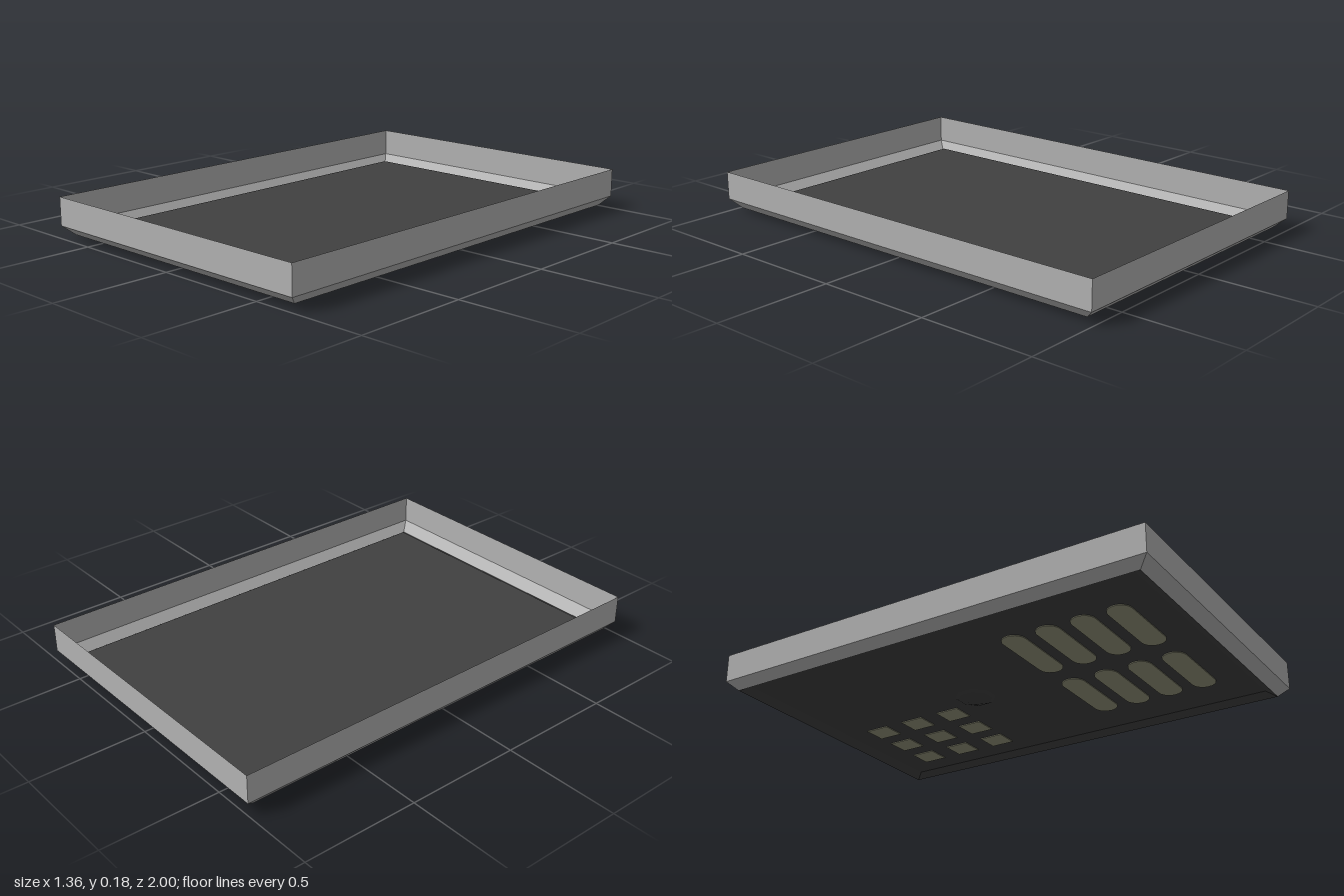
import * as THREE from 'three';

const material = (name, color) =>
  new THREE.MeshStandardMaterial({ name, color, flatShading: true, side: THREE.DoubleSide });

// Open band of four quads between two rectangles, each given as [halfX, y, halfZ]
function rectBand(lower, upper) {
  const corners = ([x, y, z]) => [[x, y, z], [x, y, -z], [-x, y, -z], [-x, y, z]];
  const a = corners(lower), b = corners(upper);
  const pos = [];
  for (let i = 0; i < 4; i++) {
    const j = (i + 1) % 4;
    pos.push(...a[i], ...a[j], ...b[j], ...a[i], ...b[j], ...b[i]);
  }
  const g = new THREE.BufferGeometry();
  g.setAttribute('position', new THREE.Float32BufferAttribute(pos, 3));
  g.computeVertexNormals();
  return g;
}

export function createModel() {
  const root = new THREE.Group();
  const grey = material('grey casing', 0xb4b4b4);
  const dark = material('dark panel', 0x404040);
  const olive = material('olive inlay', 0x95957d);

  const add = (name, geometry, mat, x = 0, y = 0, z = 0) => {
    const m = new THREE.Mesh(geometry, mat);
    m.name = name;
    m.position.set(x, y, z);
    root.add(m);
    return m;
  };

  // Casing: thin upright wall and the chamfer turning in beneath it
  add('wall', rectBand([0.68, 0.055, 1], [0.68, 0.178, 1]), grey);
  add('chamfer', rectBand([0.645, 0.015, 0.955], [0.68, 0.055, 1]), grey);

  // Panel: raised thin sheet with sloping edges, hollow underneath
  const floorY = 0.038;
  add('panelEdge', rectBand([0.645, 0.015, 0.955], [0.61, floorY, 0.915]), dark);
  const floor = new THREE.PlaneGeometry(1.22, 1.83);
  floor.rotateX(-Math.PI / 2);
  add('panel', floor, dark, 0, floorY, 0);

  // Eight-sided dome hanging from the underside
  const profile = [[0, 0], [0.04, 0.015], [0.075, 0.027], [0.09, 0.036], [0.104, 0.036]]
    .map(([r, y]) => new THREE.Vector2(r, y));
  const dome = new THREE.LatheGeometry(profile, 8);
  dome.rotateY(Math.PI / 8);
  add('dome', dome, dark, -0.01, 0, -0.17);

  // Three by three square inlays on the underside
  const tile = new THREE.BoxGeometry(0.105, 0.004, 0.11);
  for (const x of [0.095, 0.273, 0.452]) {
    for (const z of [-0.75, -0.555, -0.36]) add('squareInlay', tile, olive, x, 0.0355, z);
  }

  // Two columns of four round-ended inlays on the underside
  const a = 0.14, r = 0.052;
  const shape = new THREE.Shape();
  shape.moveTo(-a, -r);
  shape.lineTo(a, -r);
  shape.absarc(a, 0, r, -Math.PI / 2, Math.PI / 2, false);
  shape.lineTo(-a, r);
  shape.absarc(-a, 0, r, Math.PI / 2, Math.PI * 1.5, false);
  const slot = new THREE.ExtrudeGeometry(shape, { depth: 0.004, bevelEnabled: false, curveSegments: 5 });
  slot.rotateX(-Math.PI / 2);
  for (const x of [-0.237, 0.237]) {
    for (let i = 0; i < 4; i++) add('slotInlay', slot, olive, x, 0.0335, 0.262 + i * 0.157);
  }

  return root;
}
